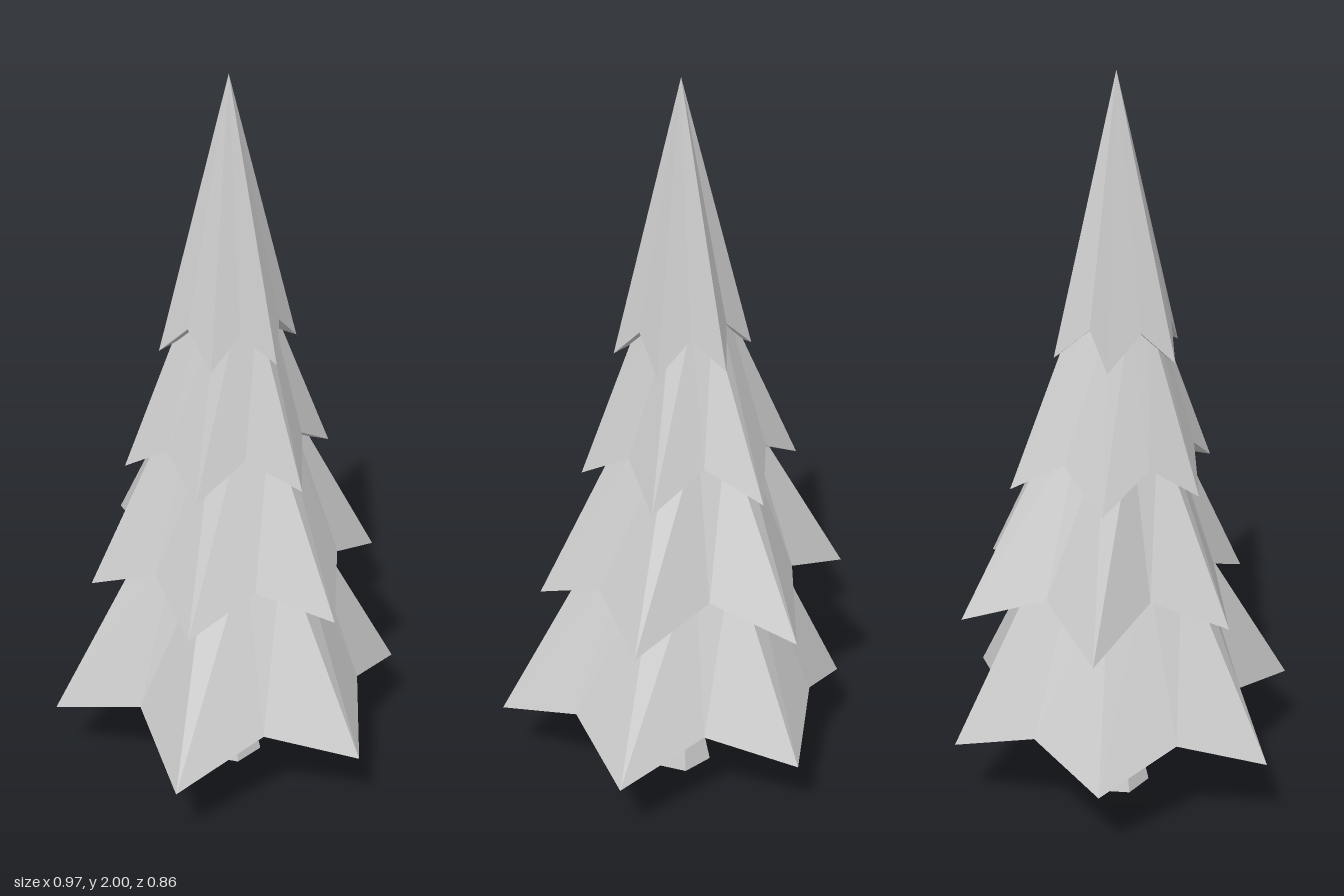
import * as THREE from 'three';

const paleGrey = new THREE.MeshStandardMaterial({ color: 0xcccccc, flatShading: true });
paleGrey.name = 'pale grey';

// Each rim lists [x, z] corners: tip, valley, tip, ... starting at +x and turning towards +z.
// Tips hang at tipY, valleys sit at valleyY; the skirt narrows to a star of radius topR at topY.
const TIERS = [
  { name: 'bottomTier', tipY: 0.22, valleyY: 0.305, topY: 0.75, topR: 0.205, centre: [0, -0.02],
    rim: [[0.485, -0.02], [0.32, 0.165], [0.25, 0.41], [0, 0.36], [-0.255, 0.43], [-0.285, 0.15],
      [-0.485, -0.02], [-0.32, -0.2], [-0.225, -0.41], [0, -0.39], [0.24, -0.43], [0.305, -0.19]] },
  { name: 'lowerMiddleTier', tipY: 0.595, valleyY: 0.685, topY: 1.1, topR: 0.15, centre: [0.01, -0.04],
    rim: [[0.42, -0.04], [0.27, 0.11], [0.205, 0.305], [0.005, 0.25], [-0.185, 0.29], [-0.225, 0.1],
      [-0.37, -0.04], [-0.22, -0.18], [-0.21, -0.41], [0, -0.33], [0.22, -0.41], [0.24, -0.18]] },
  { name: 'upperMiddleTier', tipY: 0.945, valleyY: 1.035, topY: 1.4, topR: 0.105, centre: [0.005, -0.03],
    rim: [[0.285, -0.04], [0.18, 0.06], [0.14, 0.205], [0, 0.165], [-0.14, 0.2], [-0.18, 0.065],
      [-0.27, -0.04], [-0.19, -0.145], [-0.15, -0.29], [0, -0.25], [0.145, -0.29], [0.17, -0.14]] },
  { name: 'topTier', tipY: 1.28, valleyY: 1.365, topY: 2, topR: 0, centre: [0.005, -0.02],
    rim: [[0.185, -0.02], [0.118, 0.05], [0.09, 0.13], [0, 0.11], [-0.08, 0.13], [-0.118, 0.045],
      [-0.178, -0.02], [-0.12, -0.085], [-0.085, -0.18], [0, -0.14], [0.092, -0.17], [0.12, -0.085]] },
];

// One skirt of branches: sloping star-shaped side plus a closed underside
function makeTier({ name, tipY, valleyY, topY, topR, centre: [cx, cz], rim }) {
  const n = rim.length;
  const low = rim.map(([x, z], i) => [x, i % 2 ? valleyY : tipY, z]);
  const high = rim.map((_, i) => {
    const a = (i / n) * Math.PI * 2, r = topR * (i % 2 ? 0.9 : 1);
    return [cx + r * Math.cos(a), topY, cz + r * Math.sin(a)];
  });
  const under = [cx, valleyY, cz];
  const verts = [];
  for (let i = 0; i < n; i++) {
    const j = (i + 1) % n;
    verts.push(...low[i], ...high[i], ...low[j]);
    if (topR > 0) verts.push(...low[j], ...high[i], ...high[j]);
    verts.push(...under, ...low[i], ...low[j]);
  }
  const geometry = new THREE.BufferGeometry();
  geometry.setAttribute('position', new THREE.Float32BufferAttribute(verts, 3));
  geometry.computeVertexNormals();
  const mesh = new THREE.Mesh(geometry, paleGrey);
  mesh.name = name;
  return mesh;
}

export function createModel() {
  const tree = new THREE.Group();
  tree.name = 'tree';

  // Six-sided trunk with a flared foot and a recessed base
  const profile = [[0, 0.03], [0.045, 0.03], [0.055, 0], [0.09, 0], [0.05, 0.19], [0.048, 0.31]]
    .map(([r, y]) => new THREE.Vector2(r, y));
  const trunk = new THREE.Mesh(new THREE.LatheGeometry(profile, 6), paleGrey);
  trunk.name = 'trunk';
  trunk.position.set(0.008, 0, -0.02);
  tree.add(trunk);

  // Stacked branch tiers
  for (const tier of TIERS) tree.add(makeTier(tier));
  return tree;
}
